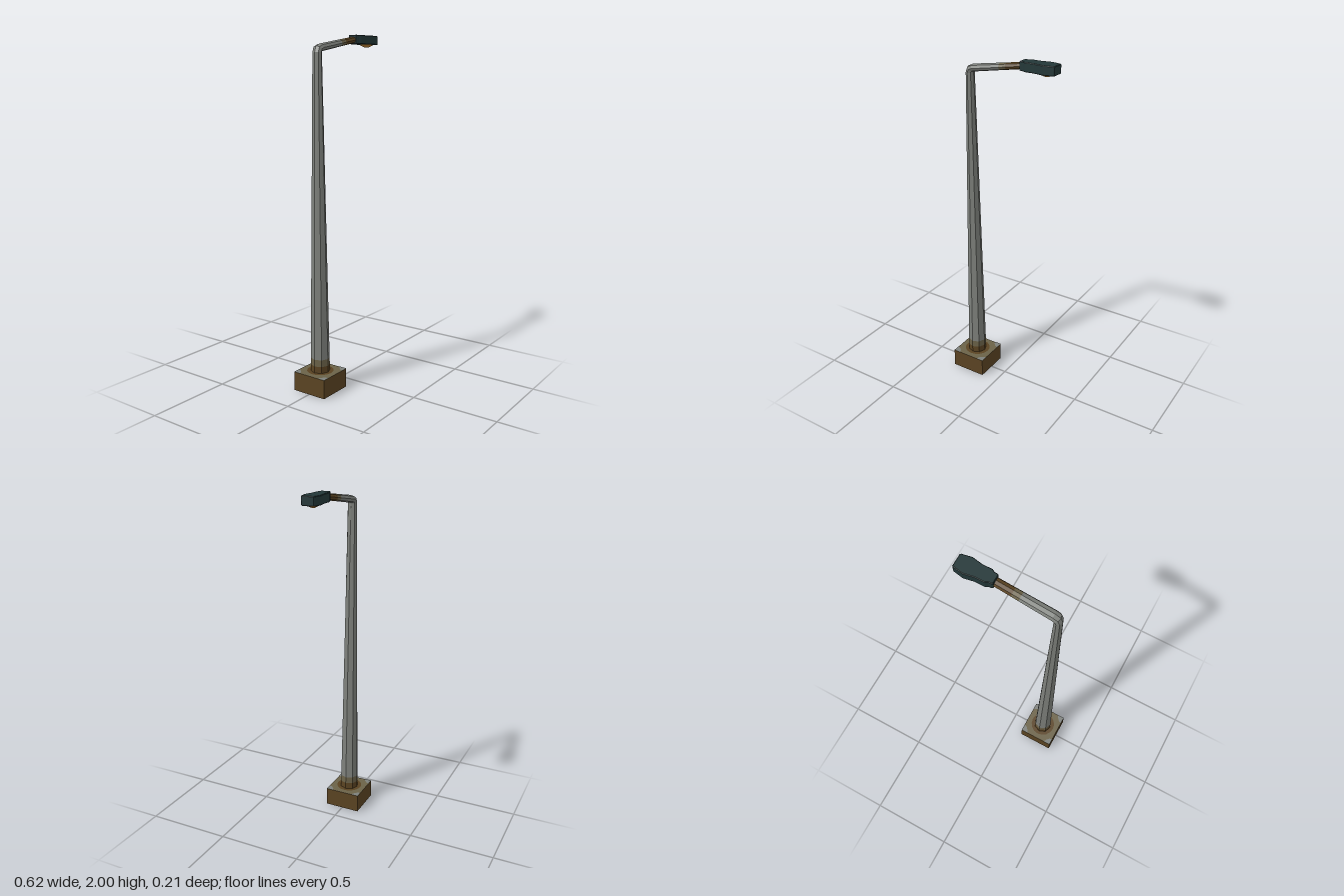
import * as THREE from 'three';

export function createModel() {
  const root = new THREE.Group();
  const paint = (name, color, flat = true) => {
    const m = new THREE.MeshStandardMaterial({ color });
    m.name = name;
    m.flatShading = flat;
    return m;
  };
  const steel = paint('steel', 0x7d807b);
  const stain = paint('light rust', 0x6b6248);
  const rust = paint('dark rust', 0x5a4322);
  const teal = paint('lamp teal', 0x233738);
  const amber = paint('amber lens', 0xb57d32);

  const add = (name, geometry, material, parent = root) => {
    const mesh = new THREE.Mesh(geometry, material);
    mesh.name = name;
    parent.add(mesh);
    return mesh;
  };

  // Octagonal tube through stations [x, y, tilt from vertical, in-plane radius, z radius]
  const SIDES = 8;
  function tube(stations) {
    const pos = [], idx = [];
    for (const [x, y, tilt, r, rz] of stations) {
      for (let i = 0; i < SIDES; i++) {
        const a = (i / SIDES) * Math.PI * 2;
        const u = Math.cos(a) * r;
        pos.push(x + u * Math.cos(tilt), y - u * Math.sin(tilt), Math.sin(a) * rz);
      }
    }
    for (let s = 0; s < stations.length - 1; s++) {
      for (let i = 0; i < SIDES; i++) {
        const a = s * SIDES + i, b = s * SIDES + ((i + 1) % SIDES);
        idx.push(a, a + SIDES, b, b, a + SIDES, b + SIDES);
      }
    }
    const g = new THREE.BufferGeometry();
    g.setAttribute('position', new THREE.Float32BufferAttribute(pos, 3));
    g.setIndex(idx);
    g.computeVertexNormals();
    return g;
  }

  // Footing block with weathered top
  const footing = new THREE.Group();
  footing.name = 'footing';
  footing.position.x = -0.207;
  root.add(footing);
  add('footingBlock', new THREE.BoxGeometry(0.213, 0.11, 0.213),
    [rust, rust, stain, steel, rust, rust], footing).position.y = 0.055;
  const ring = add('rustRing', new THREE.CircleGeometry(0.077, 16), rust, footing);
  ring.rotation.x = -Math.PI / 2;
  ring.position.y = 0.1115;
  const h = 0.1065;
  const corner = new THREE.Shape([[0, 0], [0.042, 0], [0.036, 0.018], [0.018, 0.036], [0, 0.042]]
    .map(([x, y]) => new THREE.Vector2(x - h, y - h)));
  const cornerGeometry = new THREE.ShapeGeometry(corner).rotateX(-Math.PI / 2);
  for (let i = 0; i < 4; i++) {
    const patch = add('cornerPatch', cornerGeometry, steel, footing);
    patch.rotation.y = (i * Math.PI) / 2;
    patch.position.y = 0.1115;
  }

  // Tapering mast, split where the rust ends
  const mastAt = (y) => {
    const t = (y - 0.11) / (1.895 - 0.11);
    return [-0.207 - 0.013 * t, y, 0, 0.055 - 0.033 * t, 0.056 - 0.028 * t];
  };
  add('mastRustFoot', tube([mastAt(0.11), mastAt(0.15)]), rust);
  add('mastStainedFoot', tube([mastAt(0.15), mastAt(0.19)]), stain);

  // Arm rising gently to the lamp, joined to the mast by a short bend
  const armTilt = Math.PI / 2 - 0.165;
  const armAt = (x) => {
    const t = (x + 0.195) / 0.315;
    return [x, 1.921 + 0.053 * t, armTilt, 0.021 - 0.003 * t, 0.029 - 0.005 * t];
  };
  add('mast', tube([mastAt(0.19), mastAt(1.895),
    [-0.213, 1.914, 0.7, 0.022, 0.029], armAt(-0.195), armAt(-0.025)]), steel);
  add('armStained', tube([armAt(-0.025), armAt(0.015)]), stain);
  add('armRusty', tube([armAt(0.015), armAt(0.12)]), rust);

  // Lamp housing: symmetric outline extruded upwards
  const half = [[0.104, 0.025], [0.111, 0.029], [0.126, 0.029], [0.141, 0.038],
    [0.195, 0.038], [0.251, 0.048], [0.306, 0.038], [0.311, 0.034]];
  const outline = [...half.map(([x, z]) => [x, -z]), ...half.slice().reverse()];
  const housing = new THREE.ExtrudeGeometry(
    new THREE.Shape(outline.map(([x, z]) => new THREE.Vector2(x, z))),
    { depth: 0.044, bevelEnabled: true, bevelThickness: 0.003, bevelSize: 0.003,
      bevelOffset: -0.003, bevelSegments: 1 });
  housing.rotateX(-Math.PI / 2);
  add('lampHousing', housing, teal).position.y = 1.953;

  // Faceted lens under the lamp
  const lens = add('lens', new THREE.CylinderGeometry(1, 0.25, 1, 6, 1)
    .rotateY(Math.PI / 2), amber);
  lens.scale.set(0.052, 0.016, 0.041);
  lens.position.set(0.248, 1.943, 0);

  return root;
}
